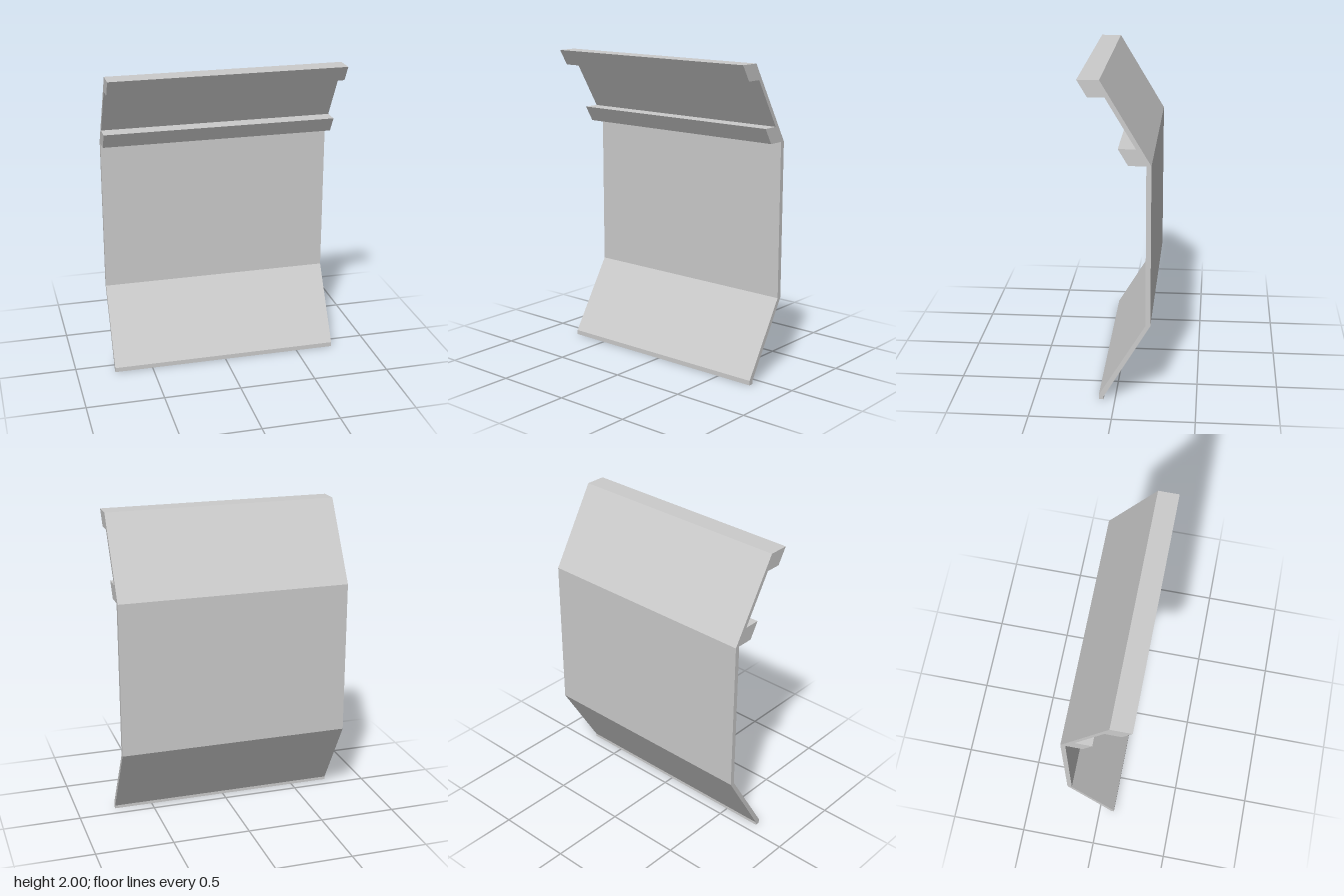
import * as THREE from 'three';

const WIDTH = 1.5;
const material = new THREE.MeshStandardMaterial({ color: 0xcccccc, flatShading: true });

// Extrudes a side profile of [z, y] points across the full width
function strip(name, profile) {
  const shape = new THREE.Shape(profile.map(([z, y]) => new THREE.Vector2(z, y)));
  const geometry = new THREE.ExtrudeGeometry(shape, { depth: WIDTH, bevelEnabled: false });
  geometry.translate(0, 0, -WIDTH / 2);
  geometry.rotateY(-Math.PI / 2);
  const mesh = new THREE.Mesh(geometry, material);
  mesh.name = name;
  return mesh;
}

export function createModel() {
  const group = new THREE.Group();
  group.name = 'bentPanel';

  // Thin sheet: bottom lip, lower slope, upright middle, upper slope
  group.add(strip('panel', [
    [0.07, 0], [0.10, 0], [0.10, 0.03], [-0.185, 0.5], [-0.185, 1.5],
    [0.115, 2], [0.085, 2], [-0.215, 1.5], [-0.215, 0.5], [0.07, 0.02],
  ]));

  // Two slanted rails on the front of the upper slope
  const rail = (name, y, z, depth) => strip(name, [
    [z, y], [z + depth, y], [z + depth + 0.06, y + 0.1], [z + 0.06, y + 0.1],
  ]);
  group.add(rail('topRail', 1.9, 0.055, 0.1));
  group.add(rail('lowerRail', 1.5, -0.185, 0.105));

  return group;
}
